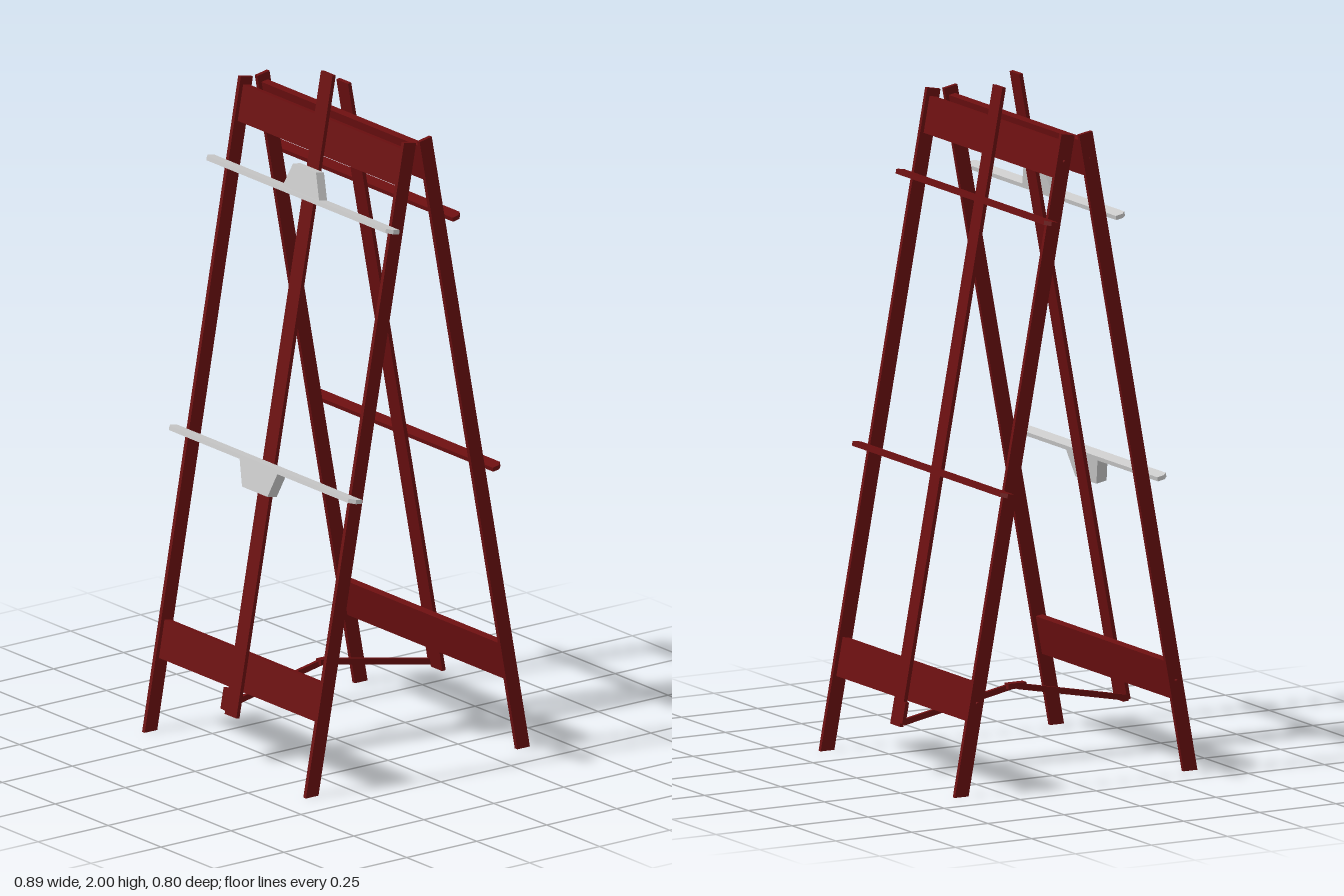
import * as THREE from 'three';

const SLOPE = 0.185;                 // lean of each frame (horizontal per vertical)
const LEAN = Math.atan(SLOPE);
const wood = new THREE.MeshStandardMaterial({ color: 0x6b0f10, flatShading: true });
const grey = new THREE.MeshStandardMaterial({ color: 0xcccccc, flatShading: true });

function add(parent, name, geometry, material = wood) {
  const mesh = new THREE.Mesh(geometry, material);
  mesh.name = name;
  parent.add(mesh);
  return mesh;
}

// Box given by its extents on each axis
function block(parent, name, [x0, x1], [y0, y1], [z0, z1], material = wood) {
  const geo = new THREE.BoxGeometry(x1 - x0, y1 - y0, z1 - z0);
  geo.translate((x0 + x1) / 2, (y0 + y1) / 2, (z0 + z1) / 2);
  return add(parent, name, geo, material);
}

function prism(points, depth) {
  const shape = new THREE.Shape(points.map(([a, b]) => new THREE.Vector2(a, b)));
  return new THREE.ExtrudeGeometry(shape, { depth, bevelEnabled: false });
}

// Side leg: level foot, square top; x is its centre
function leg(parent, name, x) {
  const d = 0.044, t = 0.0125;
  const geo = prism([[0, 0], [0, 1.927], [-d, 1.927], [-d, d * SLOPE]], t);
  geo.rotateY(-Math.PI / 2).translate(t / 2, 0, 0);
  const mesh = add(parent, name, geo);
  mesh.position.x = x;
  return mesh;
}

// Narrow ledge square to the frame, with clipped outer corners
function ledge(parent, name, x0, x1, top, material) {
  const d = 0.038, c = 0.016;
  const geo = prism([[x0, 0], [x1, 0], [x1, d - c], [x1 - c, d], [x0 + c, d], [x0, d - c]], 0.0125);
  geo.rotateX(Math.PI / 2).translate(0, top, 0);
  add(parent, name, geo, material);
}

// Tapered clamp block between the ledge (wide end) and its narrow end
function clamp(parent, name, wideY, narrowY, wide, narrow, depth) {
  const pts = [[-wide, wideY], [wide, wideY], [narrow, narrowY], [-narrow, narrowY]];
  if (narrowY < wideY) pts.reverse();
  add(parent, name, prism(pts, depth), grey);
}

// Leaning frame: local y runs up the legs, local z points outward
function frame(name, postTop) {
  const g = new THREE.Group();
  g.name = name;
  g.position.z = 0.4;
  g.rotation.x = -LEAN;
  block(g, 'lowerRail', [-0.379, 0.379], [0.22, 0.333], [-0.033, -0.0115]);
  block(g, 'upperRail', [-0.379, 0.379], [1.797, 1.904], [-0.033, -0.0115]);
  block(g, 'centrePost', [-0.0275, 0.0275], [0.143, postTop], [-0.0115, 0]);
  return g;
}

// Screw heads on the model's right side
function screws(parent, x) {
  for (const y of [0.277, 1.85]) {
    const geo = new THREE.CylinderGeometry(0.004, 0.004, 0.012, 8);
    geo.rotateZ(Math.PI / 2).translate(x, y, -0.022);
    add(parent, 'railScrew', geo);
  }
}

export function createModel() {
  const model = new THREE.Group();
  model.name = 'doubleSidedEasel';

  // Front frame with grey ledges and clamps
  const front = frame('frontFrame', 2.034);
  const loose = leg(front, 'frontRightLeg', -0.377);
  loose.rotation.z = 0.005;
  leg(front, 'frontLeftLeg', 0.385);
  screws(front, -0.388);
  ledge(front, 'upperLedge', -0.448, 0.43, 1.681, grey);
  ledge(front, 'lowerLedge', -0.435, 0.443, 0.891, grey);
  clamp(front, 'upperClamp', 1.68, 1.755, 0.087, 0.054, 0.029);
  clamp(front, 'lowerClamp', 0.879, 0.803, 0.09, 0.06, 0.034);
  block(front, 'frontStayTab', [-0.05, -0.025], [0.153, 0.216], [-0.0115, 0]);
  model.add(front);

  // Back frame, turned to face the rear, with wooden ledges
  const back = frame('backFrame', 1.999);
  leg(back, 'backRightLeg', 0.382);
  leg(back, 'backLeftLeg', -0.385);
  screws(back, 0.39);
  ledge(back, 'backUpperLedge', -0.43, 0.448, 1.681, wood);
  ledge(back, 'backLowerLedge', -0.43, 0.448, 0.891, wood);
  block(back, 'backStayTab', [0.025, 0.038], [0.153, 0.216], [-0.0115, 0]);
  const turned = new THREE.Group();
  turned.name = 'backSide';
  turned.rotation.y = Math.PI;
  turned.add(back);
  model.add(turned);

  // Folding stay: two sloping bars meeting at a hinge
  for (const [name, s, x] of [['frontStayBar', 1, -0.045], ['backStayBar', -1, -0.032]]) {
    const bar = add(model, name, new THREE.BoxGeometry(0.011, 0.017, 0.37));
    bar.position.set(x, 0.189, s * 0.184);
    bar.rotation.x = s * Math.atan(0.195);
  }
  block(model, 'stayHinge', [-0.05, -0.027], [0.218, 0.234], [-0.03, 0.03]);

  return model;
}
